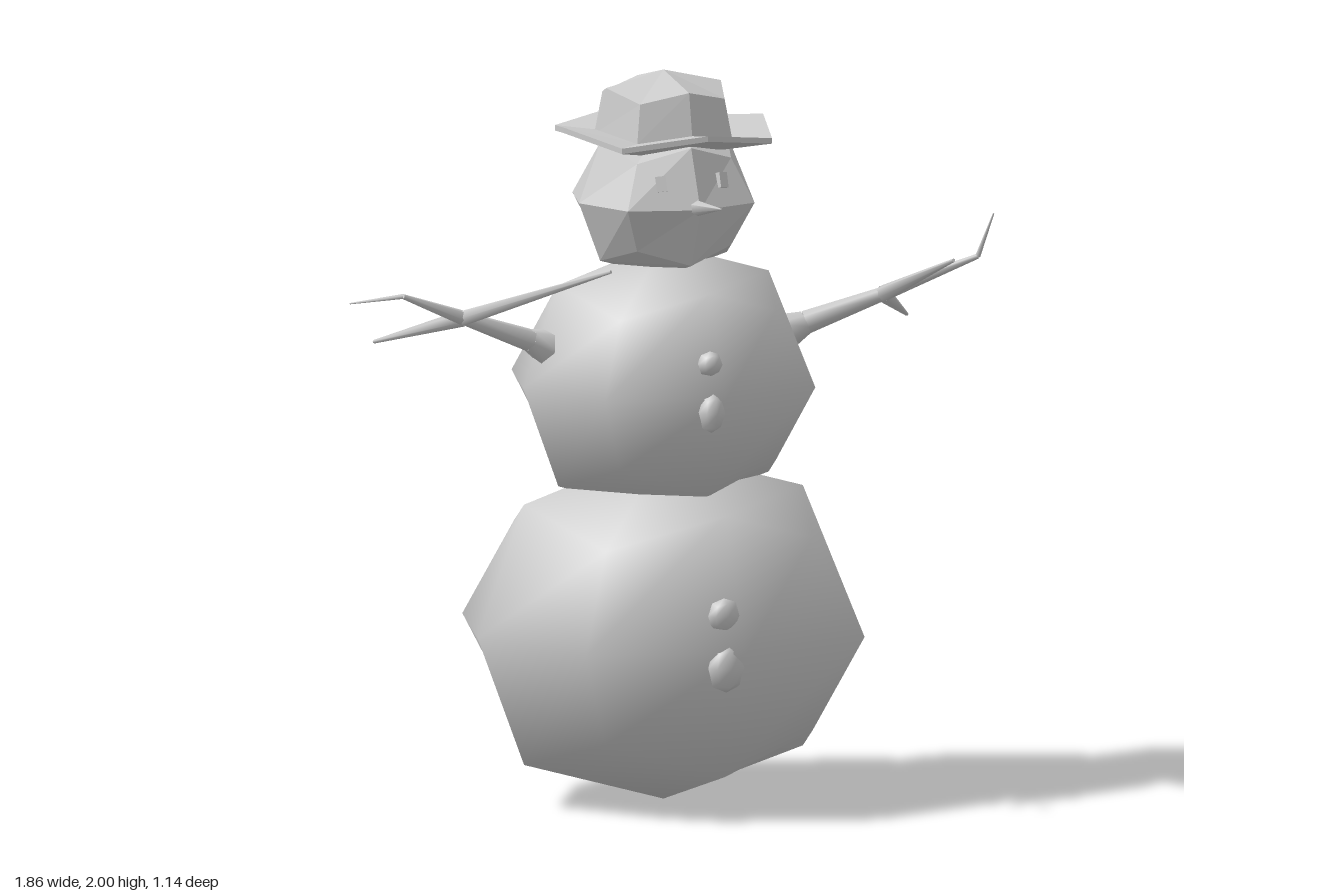
import * as THREE from 'three';
import { mergeVertices } from 'three/addons/utils/BufferGeometryUtils.js';

const CX = 0.05, CZ = -0.025; // shared axis of the stacked balls and hat
const smooth = new THREE.MeshStandardMaterial({ color: 0xcccccc });
const flat = new THREE.MeshStandardMaterial({ color: 0xcccccc, flatShading: true });
const flatDouble = new THREE.MeshStandardMaterial({ color: 0xcccccc, flatShading: true, side: THREE.DoubleSide });

function add(parent, name, geometry, material) {
  const mesh = new THREE.Mesh(geometry, material);
  mesh.name = name;
  parent.add(mesh);
  return mesh;
}

// Cube subdivided once and rounded: edges pulled to 3/4, corners to 5/9
function roundedCube(hx, hy, hz) {
  let g = new THREE.BoxGeometry(2, 2, 2, 2, 2, 2);
  g.deleteAttribute('uv');
  g.deleteAttribute('normal');
  g = mergeVertices(g);
  const p = g.attributes.position;
  const pull = [0, 1, 0.75, 0.556];
  for (let i = 0; i < p.count; i++) {
    const v = new THREE.Vector3().fromBufferAttribute(p, i);
    const k = pull[Math.round(Math.abs(v.x) + Math.abs(v.y) + Math.abs(v.z))];
    p.setXYZ(i, v.x * k * hx, v.y * k * hy, v.z * k * hz);
  }
  g.computeVertexNormals();
  return g;
}

// Eight-sided rings; each row: [axis radius, axis height, corner offset, corner height]
function octagonRings(rows) {
  const pos = [], idx = [];
  for (const [r, y, c, cy] of rows) {
    for (let k = 0; k < 8; k++) {
      const a = k * Math.PI / 4;
      const corner = k % 2, s = corner ? c * Math.SQRT2 : r;
      pos.push(Math.sin(a) * s, corner ? cy : y, Math.cos(a) * s);
    }
  }
  for (let j = 0; j < rows.length - 1; j++) {
    for (let k = 0; k < 8; k++) {
      const a = j * 8 + k, b = j * 8 + (k + 1) % 8;
      idx.push(a, b, b + 8, a, b + 8, a + 8);
    }
  }
  const g = new THREE.BufferGeometry();
  g.setAttribute('position', new THREE.Float32BufferAttribute(pos, 3));
  g.setIndex(idx);
  g.computeVertexNormals();
  return g;
}

// Tapered twig segment between two points
function twig(parent, name, from, to, r0, r1) {
  const a = new THREE.Vector3(...from), b = new THREE.Vector3(...to);
  const mesh = add(parent, name, new THREE.CylinderGeometry(r1, r0, a.distanceTo(b), 6), smooth);
  mesh.position.copy(a).add(b).multiplyScalar(0.5);
  mesh.quaternion.setFromUnitVectors(new THREE.Vector3(0, 1, 0), b.sub(a).normalize());
}

function arm(parent, name, { root, flare, hub, wrist, tip, branches }) {
  const g = new THREE.Group();
  g.name = name;
  parent.add(g);
  twig(g, 'armRoot', root, flare, 0.06, 0.032);
  twig(g, 'forearm', flare, hub, 0.032, 0.019);
  twig(g, 'hand', hub, wrist, 0.021, 0.007);
  twig(g, 'fingertip', wrist, tip, 0.007, 0.002);
  for (const end of branches) twig(g, 'branch', hub, end, 0.023, 0.005);
}

export function createModel() {
  const group = new THREE.Group();

  // Snowballs
  add(group, 'lowerBall', roundedCube(0.55, 0.475, 0.545), smooth).position.set(CX, 0.48, CZ);
  add(group, 'middleBall', roundedCube(0.415, 0.367, 0.412), smooth).position.set(CX, 1.155, CZ);
  add(group, 'head', roundedCube(0.25, 0.215, 0.245), flat).position.set(CX, 1.65, CZ);

  // Hat: underside, upturned brim, crown
  add(group, 'hat', octagonRings([
    [0.16, 1.81, 0.12, 1.79],
    [0.295, 1.845, 0.222, 1.815],
    [0.295, 1.86, 0.222, 1.83],
    [0.19, 1.845, 0.14, 1.825],
    [0.17, 1.96, 0.125, 1.93],
    [0, 2.0, 0, 2.0],
  ]), flatDouble).position.set(CX, 0, CZ);

  // Eyes
  for (const side of [-1, 1]) {
    const eye = add(group, side < 0 ? 'rightEye' : 'leftEye', new THREE.BoxGeometry(0.028, 0.042, 0.04), flat);
    eye.position.set(CX + side * 0.086, 1.715, 0.15);
    eye.rotation.set(-0.3, side * 0.35, 0);
  }

  // Nose
  twig(group, 'nose', [0.047, 1.65, 0.17], [0.045, 1.675, 0.37], 0.026, 0.002);

  // Buttons: [x, y, z, width, height, depth]
  for (const [x, y, z, w, h, d] of [
    [0.022, 1.25, 0.345, 0.055, 0.055, 0.07],
    [0.02, 1.12, 0.36, 0.058, 0.09, 0.08],
    [0.01, 0.58, 0.465, 0.075, 0.075, 0.06],
    [0.01, 0.44, 0.48, 0.085, 0.11, 0.08],
  ]) {
    const g = roundedCube(0.5, 0.5, 0.5);
    g.scale(w * 1.25, h * 1.25, d);
    add(group, 'button', g, smooth).position.set(x, y, z);
  }

  // Twig arms
  arm(group, 'rightArm', {
    root: [-0.28, 1.255, -0.02], flare: [-0.36, 1.29, 0], hub: [-0.585, 1.375, 0.07],
    wrist: [-0.8, 1.46, 0.15], tip: [-0.93, 1.44, 0.09],
    branches: [[-0.345, 1.55, 0.51], [-0.625, 1.24, -0.43]],
  });
  arm(group, 'leftArm', {
    root: [0.38, 1.25, -0.02], flare: [0.46, 1.285, 0], hub: [0.66, 1.36, 0.065],
    wrist: [0.9, 1.46, 0.155], tip: [0.92, 1.585, 0.215],
    branches: [[0.92, 1.225, -0.36], [0.645, 1.525, 0.565]],
  });

  return group;
}
